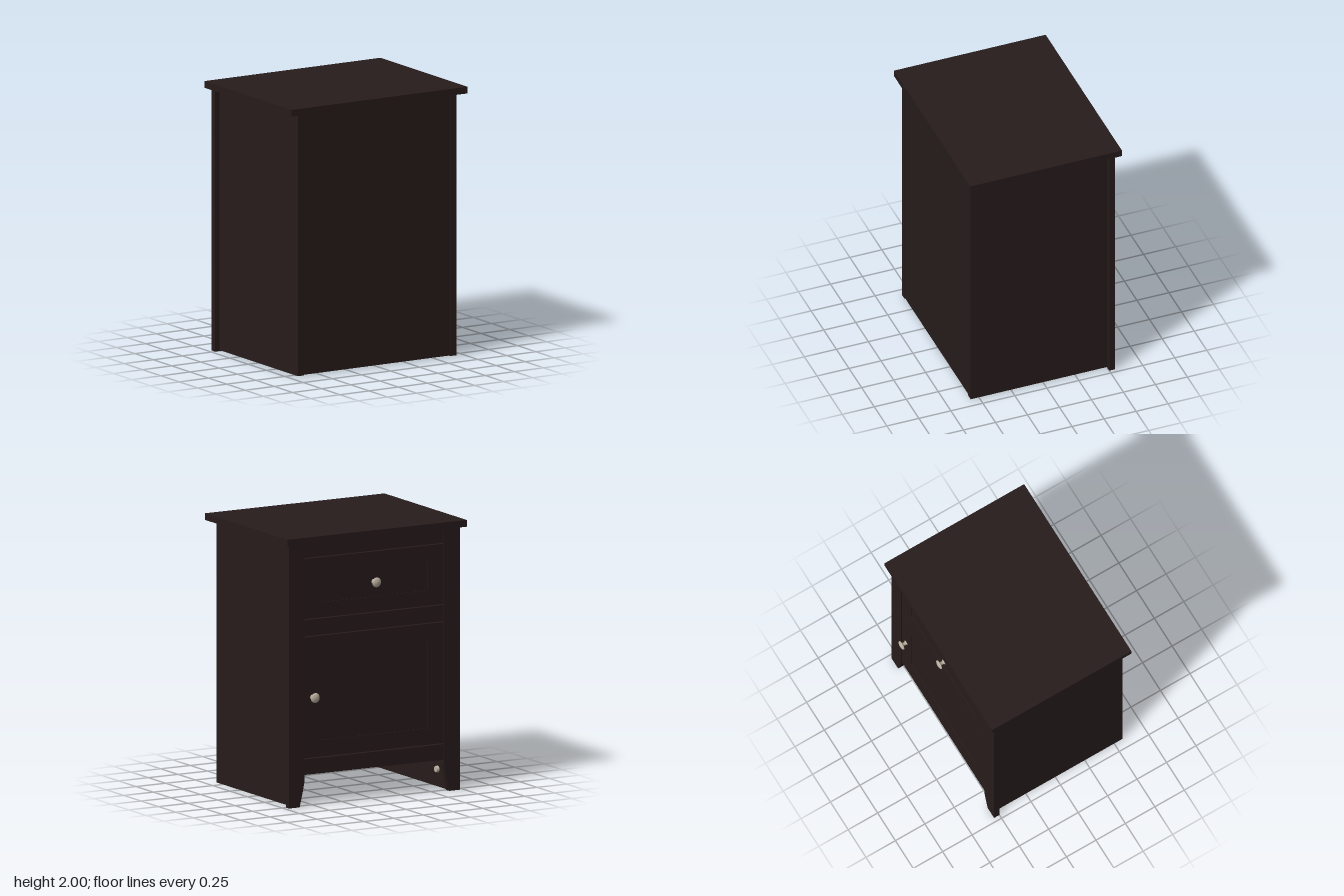
import * as THREE from 'three';

const wood = new THREE.MeshStandardMaterial({ color: 0x271c1b });
wood.name = 'dark wood';
const metal = new THREE.MeshStandardMaterial({ color: 0xbfb2a2 });
metal.name = 'brushed metal';

const FACE = -0.545; // plane of the door and drawer side
const BACK = -0.5; // rear plane of the face frame

export function createModel() {
  const cabinet = new THREE.Group();
  cabinet.name = 'cabinet';

  const add = (name, geometry, material = wood, parent = cabinet) => {
    const mesh = new THREE.Mesh(geometry, material);
    mesh.name = name;
    parent.add(mesh);
    return mesh;
  };
  // Box given by its lower and upper limits on each axis
  const box = (name, x0, x1, y0, y1, z0, z1, parent) => {
    const mesh = add(name, new THREE.BoxGeometry(x1 - x0, y1 - y0, z1 - z0), wood, parent);
    mesh.position.set((x0 + x1) / 2, (y0 + y1) / 2, (z0 + z1) / 2);
  };
  const slab = (shape, depth) => new THREE.ExtrudeGeometry(shape, { depth, bevelEnabled: false, curveSegments: 8 });

  // Carcass, narrower than the face frame
  box('top', -0.755, 0.755, 1.95, 2, -0.585, 0.6);
  box('rightSide', -0.68, -0.63, 0.006, 1.95, BACK, 0.568);
  box('leftSide', 0.63, 0.68, 0.006, 1.95, BACK, 0.568);
  box('plainPanel', -0.63, 0.63, 0.01, 1.95, 0.515, 0.563);
  box('bottomShelf', -0.63, 0.63, 0.24, 0.28, BACK, 0.515);

  // Face frame: stiles with tapered feet, and rails set back a little
  for (const s of [-1, 1]) {
    const stile = new THREE.Shape();
    stile.moveTo(s * 0.72, 0);
    stile.lineTo(s * 0.72, 1.95);
    stile.lineTo(s * 0.587, 1.95);
    stile.lineTo(s * 0.587, 0.2);
    stile.quadraticCurveTo(s * 0.6, 0.12, s * 0.63, 0);
    stile.closePath();
    add(s < 0 ? 'rightStile' : 'leftStile', slab(stile, BACK - FACE)).position.z = FACE;
  }
  for (const [name, y0, y1] of [['lowerRail', 0.235, 0.35], ['middleRail', 1.26, 1.38], ['upperRail', 1.84, 1.95]]) {
    box(name, -0.587, 0.587, y0, y1, FACE + 0.005, BACK);
  }

  // Knob: slim stem and a domed head, turned around z
  const knobProfile = [[0, 0], [0.02, 0], [0.02, 0.004], [0.013, 0.007], [0.013, 0.03],
    [0.034, 0.036], [0.037, 0.041], [0.031, 0.048], [0.018, 0.053], [0, 0.055]]
    .map(([r, h]) => new THREE.Vector2(r, h));

  // Door and drawer fronts: mitred frame, recessed panel, knob
  const front = (name, y0, y1, rail, knobX) => {
    const group = new THREE.Group();
    group.name = name;
    cabinet.add(group);
    const x = 0.585, inner = 0.455, gap = 0.007;
    const corners = (w, low, high) => [[-w, low], [w, low], [w, high], [-w, high]];
    const outside = corners(x, y0 + gap, y1 - gap);
    const inside = corners(inner, y0 + rail, y1 - rail);
    for (let i = 0; i < 4; i++) {
      const j = (i + 1) % 4;
      const piece = new THREE.Shape([outside[i], outside[j], inside[j], inside[i]]
        .map(([px, py]) => new THREE.Vector2(px, py)));
      add(name + 'FramePiece', slab(piece, 0.038), wood, group).position.z = FACE + 0.006;
    }
    box(name + 'Panel', -inner, inner, y0 + rail, y1 - rail, FACE + 0.013, FACE + 0.04, group);
    const knob = add(name + 'Knob', new THREE.LatheGeometry(knobProfile, 24), metal, group);
    knob.rotation.x = -Math.PI / 2;
    // The drawer knob sits on the recessed panel, the door knob on its frame
    knob.position.set(knobX, (y0 + y1) / 2, FACE + (knobX ? 0.003 : 0.009));
  };
  front('drawer', 1.38, 1.84, 0.12, 0);
  front('door', 0.35, 1.26, 0.13, 0.52);

  // Screw heads on the inside of both sides, below the shelf
  for (const side of [-1, 1]) {
    for (const z of [-0.38, 0.38]) {
      const screw = add('screw', new THREE.CylinderGeometry(0.022, 0.026, 0.02, 12), metal);
      screw.rotation.z = side * Math.PI / 2;
      screw.position.set(side * 0.621, 0.135, z);
    }
  }
  return cabinet;
}
